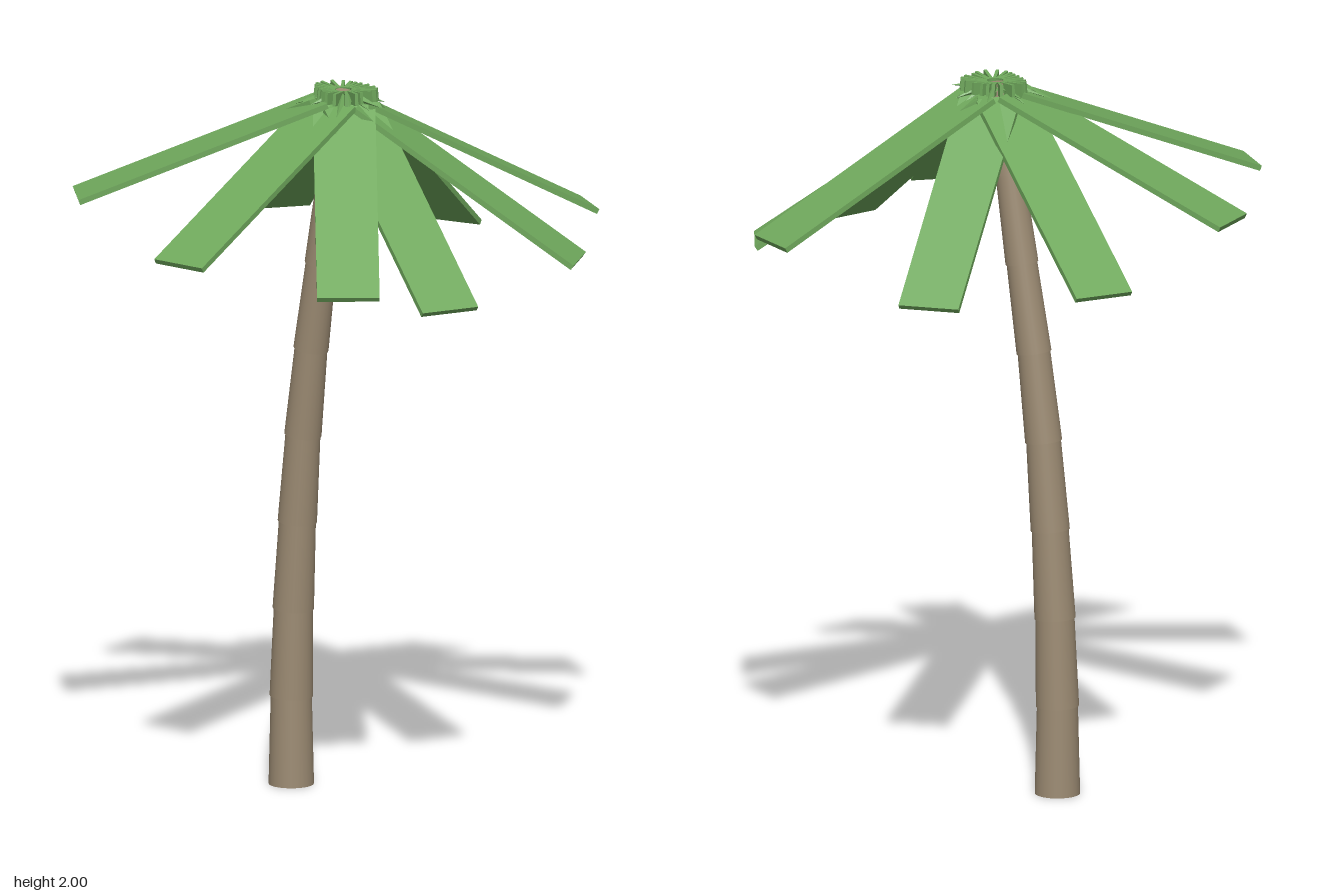
import * as THREE from 'three';

const bark = new THREE.MeshStandardMaterial({ color: 0x9c8b73 });
const leaf = new THREE.MeshStandardMaterial({ color: 0x6fa85c });
const TOP = new THREE.Vector3(0.05, 1.985, -0.02);

// Flat strip running from a to b, kept level across its width
function strip(name, a, b, width, thickness) {
  const mesh = new THREE.Mesh(new THREE.BoxGeometry(width, thickness, a.distanceTo(b)), leaf);
  mesh.name = name;
  mesh.position.copy(a).lerp(b, 0.5);
  mesh.lookAt(b);
  return mesh;
}

// Curved trunk of tapered segments, each overhanging the one below
function makeTrunk() {
  const trunk = new THREE.Group();
  trunk.name = 'trunk';
  const xs = [-0.156, -0.156, -0.148, -0.132, -0.11, -0.078, -0.038, 0.002, 0.042];
  const up = new THREE.Vector3(0, 1, 0);
  for (let i = 0; i < 8; i++) {
    const a = new THREE.Vector3(xs[i], i * 0.248, -0.02);
    const b = new THREE.Vector3(xs[i + 1], (i + 1) * 0.248, -0.02);
    const r = 0.0625 - i * 0.0028;
    const seg = new THREE.Mesh(new THREE.CylinderGeometry(r - 0.006, r, a.distanceTo(b) + 0.004, 24), bark);
    seg.name = 'trunkSegment';
    seg.position.copy(a).lerp(b, 0.5);
    seg.position.y += 0.002;
    seg.quaternion.setFromUnitVectors(up, b.clone().sub(a).normalize());
    trunk.add(seg);
  }
  return trunk;
}

// Nine large drooping fronds, given by the centre of each tip
function makeFronds() {
  const fronds = new THREE.Group();
  fronds.name = 'fronds';
  const tips = [
    [-0.135, 1.498, -0.622], [0.369, 1.617, -0.65], [0.593, 1.538, -0.391],
    [0.65, 1.493, 0.158], [0.536, 1.553, 0.436], [0.113, 1.617, 0.674],
    [-0.414, 1.708, 0.553], [-0.662, 1.667, 0.09], [-0.514, 1.523, -0.324],
  ];
  for (const t of tips) {
    const tip = new THREE.Vector3(...t);
    fronds.add(strip('frond', TOP.clone().lerp(tip, 0.07), tip, 0.172, 0.015));
  }
  return fronds;
}

// Tuft of small blades around the trunk top
function makeCrown() {
  const crown = new THREE.Group();
  crown.name = 'crown';
  const at = (angle, r, y) => new THREE.Vector3(TOP.x + Math.cos(angle) * r, y, TOP.z + Math.sin(angle) * r);
  for (let i = 0; i < 22; i++) {
    const angle = (i / 22) * Math.PI * 2 + 0.06 * Math.sin(i * 5);
    const reach = 0.085 + 0.012 * Math.sin(i * 7);
    crown.add(strip('crownBlade', at(angle, 0.025, 1.976), at(angle + 0.15, reach, 1.982), 0.009, 0.034));
  }
  // Pointed leaflets drooping outward below the blades
  for (let i = 0; i < 14; i++) {
    const angle = (i / 14) * Math.PI * 2 + 0.3 * Math.sin(i * 3);
    const a = at(angle, 0.04, 1.978);
    const b = at(angle + 0.1, 0.115 + 0.025 * Math.sin(i * 4), 1.952 + 0.012 * Math.sin(i * 2));
    const geo = new THREE.ConeGeometry(0.013, a.distanceTo(b), 4).rotateX(Math.PI / 2).toNonIndexed();
    geo.computeVertexNormals();
    const leaflet = new THREE.Mesh(geo, leaf);
    leaflet.name = 'crownLeaflet';
    leaflet.position.copy(a).lerp(b, 0.5);
    leaflet.lookAt(b);
    crown.add(leaflet);
  }
  return crown;
}

export function createModel() {
  const palm = new THREE.Group();
  palm.name = 'palmTree';
  palm.add(makeTrunk(), makeFronds(), makeCrown());
  return palm;
}
